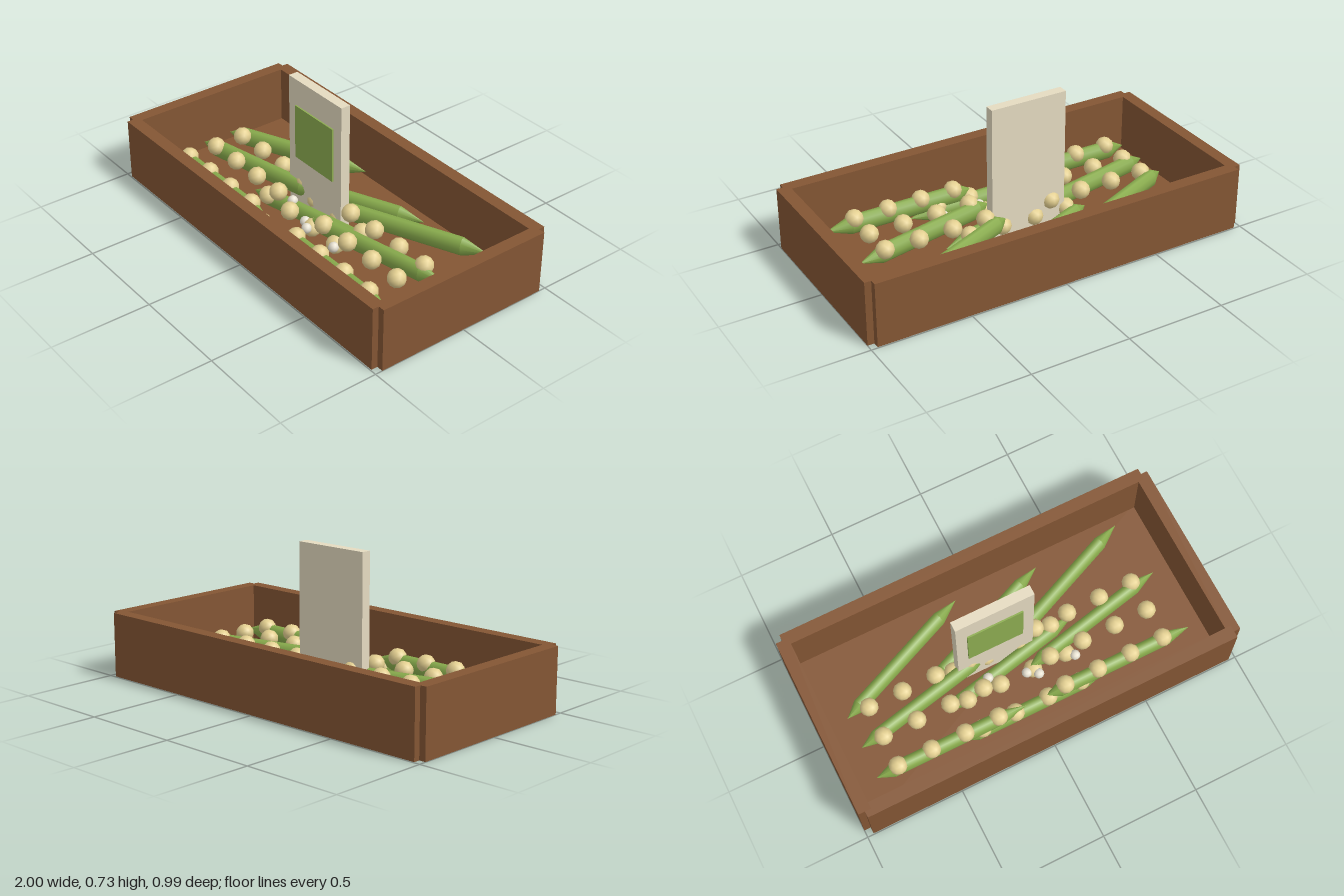
import * as THREE from 'three';

const material = (name, color) => {
  const m = new THREE.MeshStandardMaterial({ color });
  m.name = name;
  return m;
};

export function createModel() {
  const model = new THREE.Group();
  model.name = 'vegetableCrate';

  const wood = material('wood', 0x845634);
  const board = material('signBoard', 0xe5dbc1);
  const labelGreen = material('labelGreen', 0x8dad51);
  const podGreen = material('podGreen', 0x88ab4c);
  const peaTan = material('peaTan', 0xe3cf90);
  const beanWhite = material('paleBean', 0xeee8d8);

  const add = (name, geometry, mat, x, y, z, parent = model) => {
    const mesh = new THREE.Mesh(geometry, mat);
    mesh.name = name;
    mesh.position.set(x, y, z);
    parent.add(mesh);
    return mesh;
  };
  const box = (name, mat, x0, x1, y0, y1, z0, z1) =>
    add(name, new THREE.BoxGeometry(x1 - x0, y1 - y0, z1 - z0), mat,
      (x0 + x1) / 2, (y0 + y1) / 2, (z0 + z1) / 2);

  // Crate: floor and four walls with notched corners
  const H = 0.323;
  box('crateFloor', wood, -0.96, 0.96, 0, 0.025, -0.455, 0.455);
  box('frontWall', wood, -0.967, 0.967, 0, H, 0.43, 0.495);
  box('backWall', wood, -0.967, 0.967, 0, H, -0.495, -0.43);
  box('leftWall', wood, 0.936, 1, 0, H, -0.463, 0.463);
  box('rightWall', wood, -1, -0.936, 0, H, -0.463, 0.463);

  // Sign standing in the crate, with a plain coloured label
  box('signBoard', board, -0.27, 0.13, -0.0005, 0.727, -0.045, 0.005);
  box('signLabel', labelGreen, -0.215, 0.072, 0.305, 0.59, 0.005, 0.013);

  // Pod pieces: a slightly tall oval body, a long tip and a blunter end
  const R = 0.035, TIP = 0.13, END = 0.085, BODY = 0.58, TALL = 1.38;
  const lay = (g) => g.rotateZ(-Math.PI / 2).scale(1, TALL, 1);
  const bodyGeo = lay(new THREE.CylinderGeometry(R, R, BODY, 10, 1, true));
  const tipGeo = lay(new THREE.ConeGeometry(R, TIP, 10, 1, true));
  const endGeo = lay(new THREE.ConeGeometry(R, END, 10, 1, true)).rotateY(Math.PI);
  const peaGeo = new THREE.IcosahedronGeometry(0.046, 1);

  // Three rows of pods fanning out; the middle pod of each lies under its neighbours
  const rows = [
    { z: 0.292, turn: 0 },
    { z: 0.127, turn: 0.21 },
    { z: -0.034, turn: 0.405 },
  ];
  rows.forEach(({ z, turn }, row) => {
    for (let i = 0; i < 3; i++) {
      const lift = i === 1 ? 0 : 0.064;
      const pod = new THREE.Group();
      pod.name = 'pod';
      pod.position.set(-0.845 + i * 0.445, 0.064 + lift, z);
      pod.rotation.y = turn;
      model.add(pod);
      add('podEnd', endGeo, podGreen, END / 2, 0, 0, pod);
      add('podBody', bodyGeo, podGreen, END + BODY / 2, 0, 0, pod);
      add('podTip', tipGeo, podGreen, END + BODY + TIP / 2, 0, 0, pod);

      // Four peas in a straight row over each pod
      for (let k = 0; k < 4; k++) {
        add('pea', peaGeo, peaTan, -0.73 + i * 0.445 + k * 0.177, 0.094 + lift, 0.29 - row * 0.161);
      }
    }
  });

  // Loose pale beans
  const beanGeo = new THREE.IcosahedronGeometry(0.026, 1);
  for (const [x, z] of [[-0.15, 0.08], [0.03, 0.14], [0.08, 0.17], [0.28, 0.165]]) {
    add('looseBean', beanGeo, beanWhite, x, 0.112, z);
  }

  return model;
}
